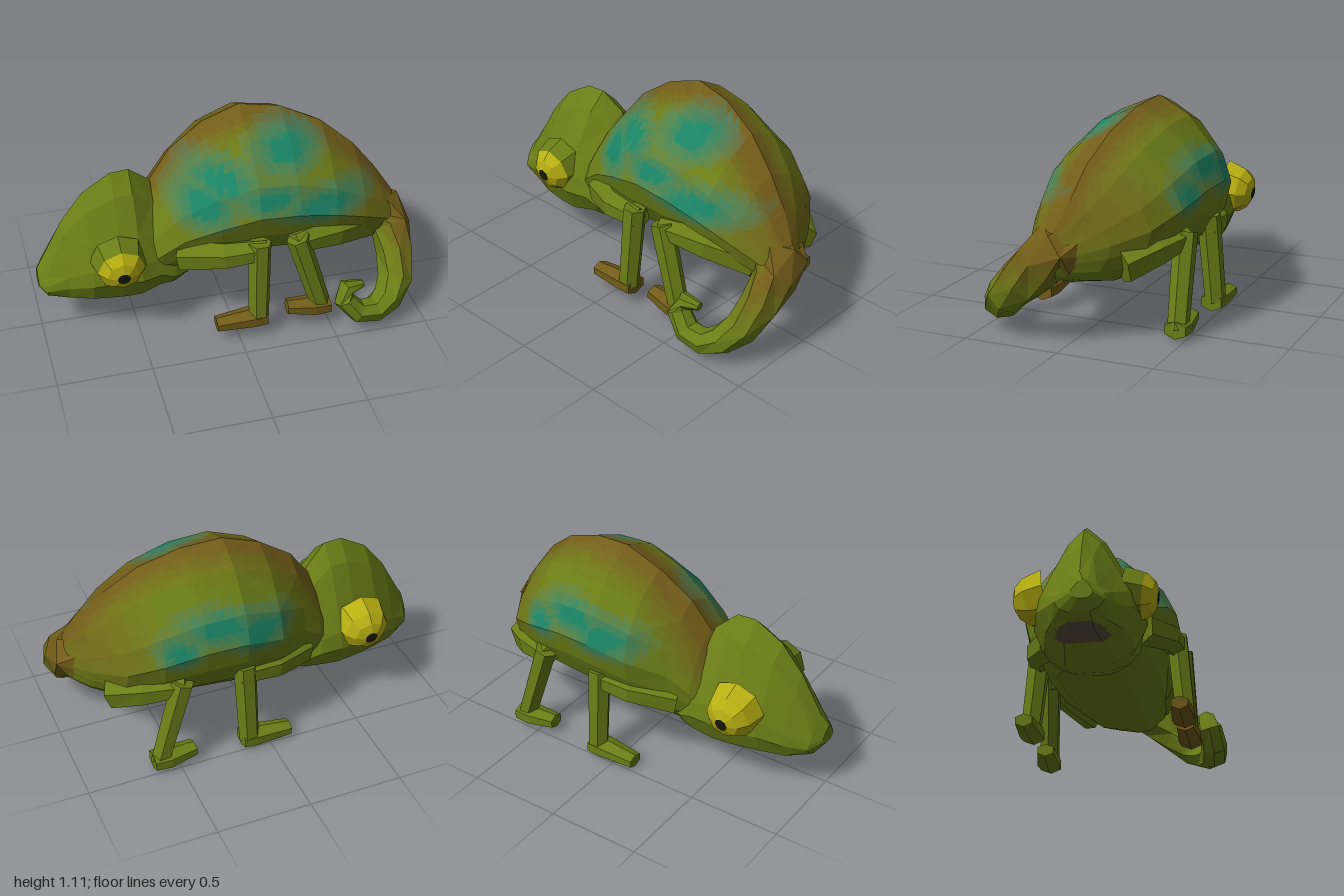
import * as THREE from 'three';

const GREEN = 0x6b7d16, BROWN = 0x715c18, TEAL = 0x1a8464, MOUTH = 0x584a3c;
const YELLOW = 0xb8b012, DARK = 0x17190a;
const V = (x, y, z) => new THREE.Vector3(x, y, z);
const clamp = (t) => Math.min(1, Math.max(0, t));

function mat(color) {
  return new THREE.MeshStandardMaterial({ color, flatShading: true, roughness: 0.9 });
}

// Blend between skin colours in a few steps, so facets can share materials
function blend(brown, teal) {
  const step = (t) => Math.round(clamp(t) * 6) / 6;
  return new THREE.Color(GREEN).lerp(new THREE.Color(BROWN), step(brown))
    .lerp(new THREE.Color(TEAL), step(teal)).getHex();
}

// Skin a list of rings with closed ends; facets are sorted by colour into meshes
function skin(name, rings, paint, depth = 0) {
  const byColor = new Map();
  function tri(a, b, c, d) {
    if (d > 0) {
      const ab = a.clone().lerp(b, 0.5), bc = b.clone().lerp(c, 0.5), ca = c.clone().lerp(a, 0.5);
      tri(a, ab, ca, d - 1); tri(ab, b, bc, d - 1); tri(ca, bc, c, d - 1); tri(ab, bc, ca, d - 1);
      return;
    }
    const hex = paint(a.clone().add(b).add(c).divideScalar(3));
    if (!byColor.has(hex)) byColor.set(hex, []);
    byColor.get(hex).push(...a.toArray(), ...b.toArray(), ...c.toArray());
  }
  const n = rings[0].length;
  const centre = (r) => r.reduce((s, p) => s.add(p), V(0, 0, 0)).divideScalar(n);
  const first = rings[0], last = rings[rings.length - 1];
  const c0 = centre(first), c1 = centre(last);
  for (let j = 0; j < n; j++) {
    const k = (j + 1) % n;
    for (let i = 0; i < rings.length - 1; i++) {
      const [p, q] = [rings[i], rings[i + 1]];
      if ((i + j) % 2) {
        tri(p[j], p[k], q[k], depth); tri(p[j], q[k], q[j], depth);
      } else {
        tri(p[j], p[k], q[j], depth); tri(p[k], q[k], q[j], depth);
      }
    }
    tri(c0, first[k], first[j], 0);
    tri(c1, last[j], last[k], 0);
  }
  const group = new THREE.Group();
  group.name = name;
  for (const [hex, pos] of byColor) {
    const g = new THREE.BufferGeometry();
    g.setAttribute('position', new THREE.Float32BufferAttribute(pos, 3));
    g.computeVertexNormals();
    const mesh = new THREE.Mesh(g, mat(hex));
    mesh.name = name + 'Skin';
    group.add(mesh);
  }
  return group;
}

// Upright ring from [x, top, bottom, zMin, zMax, ridgeZ] and a half profile [width, height]
function section([x, top, bottom, zMin, zMax, ridge], half) {
  const point = (side) => ([u, v]) =>
    V(x, bottom + (top - bottom) * v, ridge + u * (side > 0 ? zMax - ridge : zMin - ridge));
  return [...half.map(point(1)), ...half.slice(1, -1).reverse().map(point(-1))];
}

// Rings around a path of [x, y, z, radius], optionally wider sideways
function sweep(path, sides = 6, wide = 1) {
  const pts = path.map(([x, y, z]) => V(x, y, z));
  return path.map(([, , , r], i) => {
    const t = pts[Math.min(i + 1, pts.length - 1)].clone().sub(pts[Math.max(i - 1, 0)]).normalize();
    const nrm = V(0, 0, 1).cross(t).normalize();
    const bin = t.clone().cross(nrm);
    return Array.from({ length: sides }, (_, j) => {
      const a = (j / sides) * Math.PI * 2;
      return pts[i].clone().addScaledVector(nrm, r * Math.cos(a)).addScaledVector(bin, wide * r * Math.sin(a));
    });
  });
}

function body() {
  const half = [[0, 1], [0.45, 0.89], [0.85, 0.68], [1, 0.5], [0.92, 0.34], [0.74, 0.17], [0.43, 0.04], [0, 0]];
  const rings = [
    [-0.45, 0.6, 0.18, -0.26, 0.14, -0.08],
    [-0.36, 0.76, 0.2, -0.32, 0.19, -0.12],
    [-0.25, 0.91, 0.22, -0.36, 0.22, -0.14],
    [-0.07, 1.04, 0.26, -0.48, 0.28, -0.16],
    [0.13, 1.115, 0.29, -0.52, 0.31, -0.16],
    [0.34, 1.09, 0.29, -0.5, 0.31, -0.13],
    [0.55, 1.0, 0.28, -0.46, 0.29, -0.08],
    [0.72, 0.86, 0.28, -0.37, 0.25, -0.03],
    [0.84, 0.71, 0.31, -0.21, 0.21, 0],
    [0.92, 0.59, 0.34, -0.06, 0.18, 0.04],
    [0.965, 0.51, 0.38, 0.02, 0.16, 0.08],
  ].map((r) => section(r, half));
  // Teal patches on the flanks: [x, y, radiusX, radiusY]
  const left = [[-0.04, 0.86, 0.24, 0.13], [-0.14, 0.75, 0.2, 0.16], [0.32, 0.97, 0.26, 0.13],
    [0.2, 0.78, 0.26, 0.1], [0.48, 0.71, 0.36, 0.12]];
  const right = [[0.05, 0.74, 0.26, 0.14], [0.25, 0.8, 0.28, 0.12], [0.47, 0.7, 0.15, 0.12]];
  const paint = (p) => {
    const ridge = -0.15 + 0.2 * clamp((p.x - 0.2) / 0.7);
    const brown = Math.max(1.35 - Math.abs(p.z - ridge) / 0.16, (p.x - 0.5) * 2.2) * clamp((p.y - 0.38) * 4);
    const spots = p.z > ridge ? left : right;
    const teal = Math.max(...spots.map(([x, y, rx, ry]) => 1.4 * (1 - Math.hypot((p.x - x) / rx, (p.y - y) / ry))));
    return blend(brown, teal);
  };
  return skin('body', rings, paint, 2);
}

function head() {
  const half = [[0, 1], [0.34, 0.87], [0.68, 0.62], [0.93, 0.42], [1, 0.28], [0.8, 0.1], [0.4, 0], [0, 0]];
  const rings = [
    [-1, 0.37, 0.27, -0.07, 0.04, -0.01],
    [-0.96, 0.43, 0.22, -0.15, 0.09, -0.03],
    [-0.85, 0.63, 0.175, -0.22, 0.12, -0.04],
    [-0.73, 0.78, 0.17, -0.28, 0.19, -0.05],
    [-0.58, 0.87, 0.16, -0.32, 0.22, -0.06],
    [-0.48, 0.87, 0.165, -0.34, 0.23, -0.07],
    [-0.37, 0.77, 0.19, -0.33, 0.19, -0.1],
    [-0.29, 0.58, 0.205, -0.3, 0.17, -0.1],
    [-0.16, 0.4, 0.245, -0.22, 0.07, -0.08],
  ].map((r) => section(r, half));
  return skin('head', rings, (p) => (p.y < 0.2 && p.x < -0.72 ? MOUTH : GREEN), 2);
}

// Turret eye: lid, iris and pupil, turned outward and slightly down
function eye(name, x, y, z, side, lidColor) {
  const group = new THREE.Group();
  group.name = name;
  const bands = [
    ['eyelid', lidColor, [[0.15, -0.1], [0.125, 0]]],
    ['iris', YELLOW, [[0.125, 0], [0.085, 0.045], [0.035, 0.065]]],
    ['pupil', DARK, [[0.035, 0.065], [0, 0.068]]],
  ];
  for (const [part, color, pts] of bands) {
    const g = new THREE.LatheGeometry(pts.map(([r, h]) => new THREE.Vector2(r, h)), 8);
    const mesh = new THREE.Mesh(g, mat(color));
    mesh.name = part;
    group.add(mesh);
  }
  group.position.set(x, y, z);
  group.rotation.x = side * (Math.PI / 2 + 0.15);
  return group;
}

function tail() {
  const path = [
    [0.8, 0.5, -0.02, 0.1], [0.87, 0.475, 0.06, 0.125], [0.903, 0.4, 0.14, 0.108], [0.9, 0.3, 0.24, 0.098],
    [0.87, 0.2, 0.34, 0.088], [0.8, 0.13, 0.41, 0.075], [0.72, 0.1, 0.445, 0.064], [0.62, 0.12, 0.455, 0.06],
    [0.55, 0.2, 0.44, 0.055], [0.57, 0.26, 0.42, 0.045], [0.66, 0.26, 0.41, 0.02],
  ];
  return skin('tail', sweep(path, 7, 1.2), (p) => blend((p.y - 0.2) * 4 * clamp((p.x - 0.8) * 9), 0), 1);
}

// One leg as upper part, lower part and foot; points are [x, y, outward, radius]
function leg(name, parts, side) {
  const group = new THREE.Group();
  group.name = name;
  const dy = side > 0 ? 0 : -0.05;
  for (const [part, path] of Object.entries(parts)) {
    const pts = path.map(([x, y, out, r]) => [x, y + dy, -0.06 + side * out, r]);
    const color = side > 0 && part === 'foot' ? BROWN : GREEN;
    group.add(skin(part, sweep(pts, 6, part === 'foot' ? 1.4 : 1), () => color));
  }
  return group;
}

const frontLeg = {
  upperArm: [[-0.26, 0.45, 0.22, 0.09], [-0.05, 0.49, 0.34, 0.075], [0.16, 0.51, 0.37, 0.058]],
  forearm: [[0.12, 0.56, 0.37, 0.062], [0.11, 0.1, 0.41, 0.055]],
  foot: [[0.15, 0.1, 0.4, 0.046], [0.08, 0.1, 0.4, 0.05], [-0.12, 0.09, 0.4, 0.036]],
};

// The hip stays in the rump while the knee and foot step back by dx
function hindLeg(dx) {
  return {
    thigh: [[0.76, 0.45, 0.17, 0.1], [0.54 + dx * 0.6, 0.5, 0.29, 0.085], [0.3 + dx, 0.53, 0.38, 0.055]],
    shin: [[0.32 + dx, 0.56, 0.38, 0.062], [0.46 + dx, 0.1, 0.4, 0.054]],
    foot: [[0.5 + dx, 0.11, 0.4, 0.046], [0.42 + dx, 0.11, 0.4, 0.05], [0.27 + dx, 0.12, 0.39, 0.036]],
  };
}

export function createModel() {
  const model = new THREE.Group();
  model.name = 'chameleon';
  model.add(body(), head(), tail());
  model.add(eye('leftEye', -0.59, 0.46, 0.23, 1, GREEN), eye('rightEye', -0.61, 0.46, -0.35, -1, YELLOW));
  model.add(leg('leftFrontLeg', frontLeg, 1), leg('rightFrontLeg', frontLeg, -1));
  model.add(leg('leftHindLeg', hindLeg(0), 1), leg('rightHindLeg', hindLeg(0.14), -1));
  return model;
}
